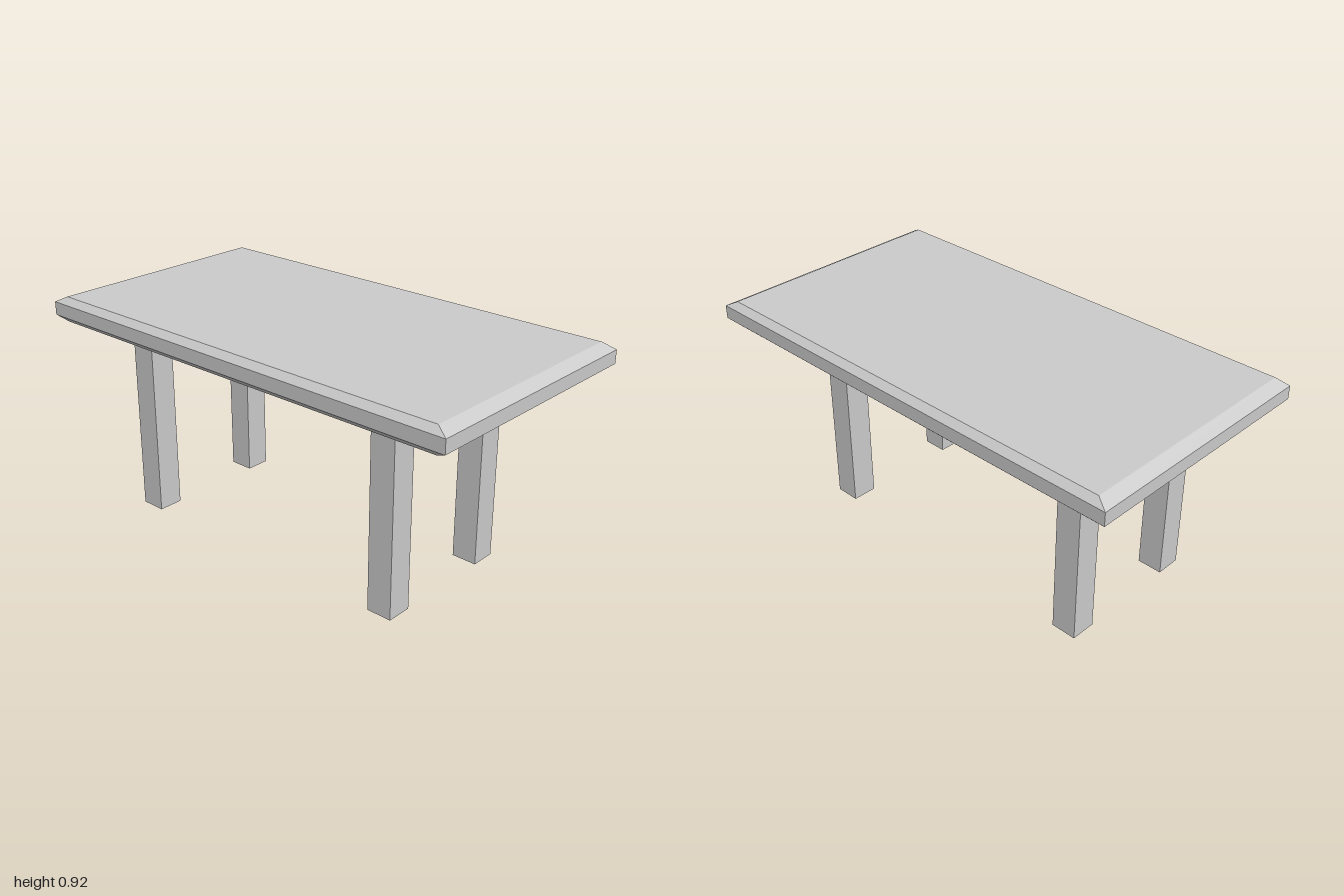
import * as THREE from 'three';

const material = new THREE.MeshStandardMaterial({ color: 0xcccccc, flatShading: true });
const openMaterial = new THREE.MeshStandardMaterial({ color: 0xcccccc, flatShading: true, side: THREE.DoubleSide });

const TOP = { width: 1.054, depth: 2, bottom: 0.81, height: 0.108, edge: 0.056, inset: 0.95 };
const LEG = { size: 0.108, xs: [-0.31, 0.224], zs: [0.62, -0.65] };

// Slab with an upright rim and bevels towards its upper and lower faces
function createTabletop() {
  let geometry = new THREE.BoxGeometry(TOP.width, TOP.height, TOP.depth, 1, 3, 1);
  const p = geometry.attributes.position;
  for (let i = 0; i < p.count; i++) {
    const y = p.getY(i);
    if (Math.abs(y) > TOP.height * 0.4) {
      p.setX(i, p.getX(i) * TOP.inset);
      p.setZ(i, p.getZ(i) * TOP.inset);
    } else {
      p.setY(i, Math.sign(y) * TOP.edge / 2);
    }
  }
  geometry = geometry.toNonIndexed();
  geometry.computeVertexNormals();
  const top = new THREE.Mesh(geometry, material);
  top.name = 'tabletop';
  top.position.y = TOP.bottom + TOP.height / 2;
  return top;
}

export function createModel() {
  const table = new THREE.Group();
  table.name = 'table';
  table.add(createTabletop());

  // Hollow square legs, open at the foot
  const radius = LEG.size / Math.SQRT2;
  const legGeometry = new THREE.CylinderGeometry(radius, radius, TOP.bottom, 4, 1, true)
    .rotateY(Math.PI / 4)
    .translate(0, TOP.bottom / 2, 0);
  for (const z of LEG.zs) {
    for (const x of LEG.xs) {
      const leg = new THREE.Mesh(legGeometry, openMaterial);
      leg.name = (z > 0 ? 'front' : 'back') + (x > 0 ? 'Left' : 'Right') + 'Leg';
      leg.position.set(x, 0, z);
      table.add(leg);
    }
  }
  return table;
}
